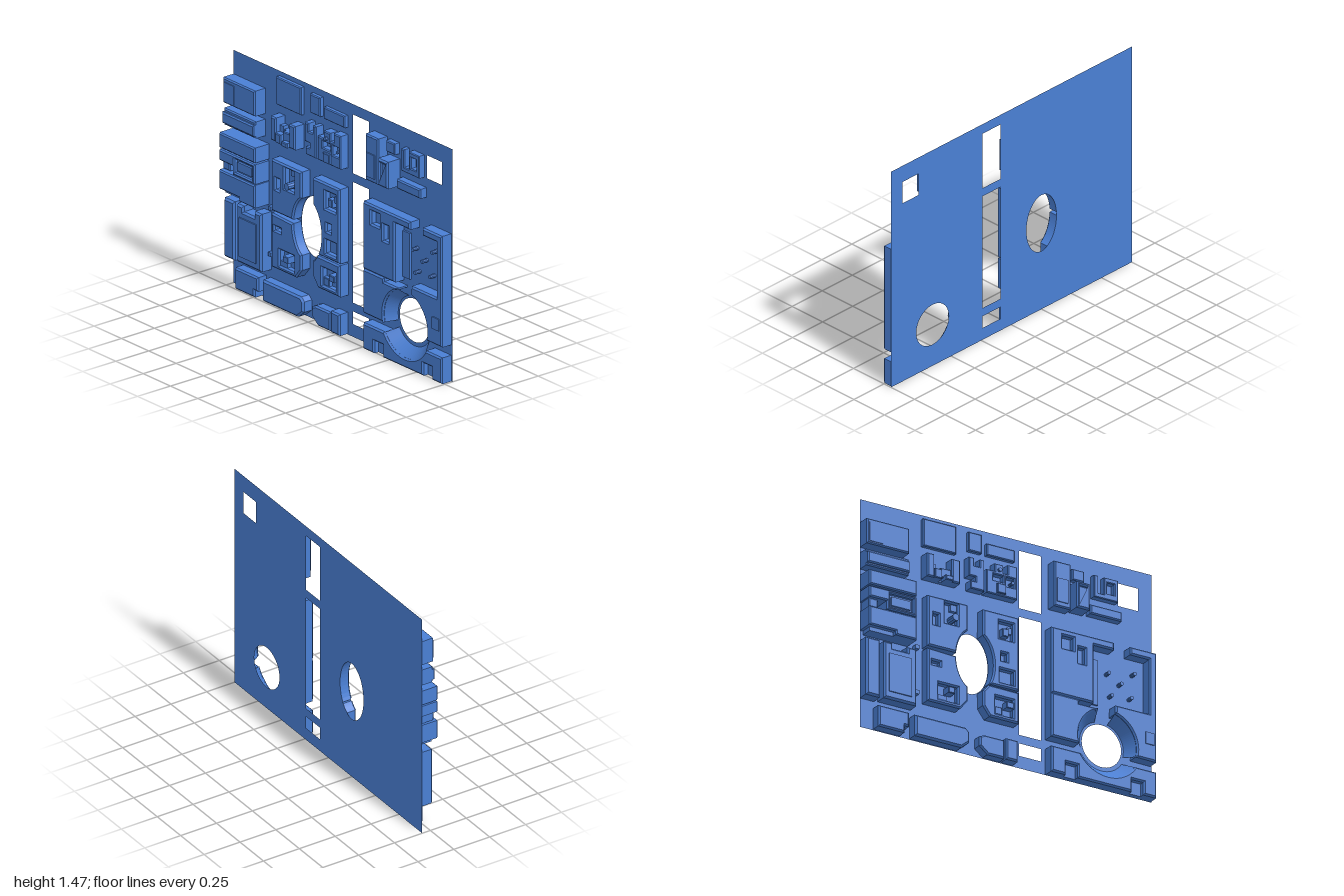
import * as THREE from 'three';

const BASE = -0.057;

export function createModel() {
  const group = new THREE.Group();
  const mat = new THREE.MeshStandardMaterial({ color: 0x4a7fd4, flatShading: true, side: THREE.DoubleSide });
  const rad = THREE.MathUtils.degToRad;

  const add = (name, geo) => {
    const mesh = new THREE.Mesh(geo, mat);
    mesh.name = name;
    group.add(mesh);
    return mesh;
  };
  const pairs = (a) => Array.from({ length: a.length / 2 }, (_, i) => new THREE.Vector2(a[2 * i], a[2 * i + 1]));
  const rect = (x0, y0, x1, y1) => [x0, y0, x1, y0, x1, y1, x0, y1];
  const arc = (cx, cy, rx, ry, a0, a1, n = 14) => {
    const out = [];
    for (let i = 0; i <= n; i++) {
      const a = rad(a0 + ((a1 - a0) * i) / n);
      out.push(cx + rx * Math.cos(a), cy + ry * Math.sin(a));
    }
    return out;
  };

  // Block standing on the plate: bevelled front rim, flat back, optional recesses with a lower floor
  function block(name, pts, z, bevel = 0.01, recesses = [], floor = z - 0.04) {
    const shape = new THREE.Shape(pairs(pts));
    recesses.forEach((r) => shape.holes.push(new THREE.Path(pairs(rect(...r)))));
    const geo = new THREE.ExtrudeGeometry(shape, {
      depth: z - BASE - bevel, bevelEnabled: bevel > 0, bevelThickness: bevel,
      bevelSize: bevel, bevelOffset: -bevel, bevelSegments: 1,
    });
    const p = geo.attributes.position;
    for (let i = 0; i < p.count; i++) p.setZ(i, Math.max(0, p.getZ(i)));
    geo.translate(0, 0, BASE);
    geo.computeVertexNormals();
    add(name, geo);
    recesses.forEach((r) => box(name + 'RecessFloor', ...r, floor, 0));
  }
  function box(name, x0, y0, x1, y1, z, bevel = 0.008, recesses) {
    block(name, rect(x0, y0, x1, y1), z, bevel, recesses);
  }
  function peg(name, x, y, r, z) {
    const geo = new THREE.CylinderGeometry(r, r, z - BASE, 10);
    geo.rotateX(Math.PI / 2);
    add(name, geo).position.set(x, y, (z + BASE) / 2);
  }

  // Thin back plate with its openings
  const plate = new THREE.Shape(pairs(rect(-1, 0, 1, 1.465)));
  [
    rect(0.09, 1.03, 0.24, 1.4), rect(0.09, 0.215, 0.24, 0.975), rect(0.09, 0.08, 0.24, 0.16),
    rect(0.77, 1.21, 0.905, 1.355),
    arc(-0.25, 0.585, 0.125, 0.19, 0, 352.5, 47), arc(0.655, 0.28, 0.135, 0.135, 0, 352.5, 47),
  ].forEach((h) => plate.holes.push(new THREE.Path(pairs(h))));
  add('backPlate', new THREE.ShapeGeometry(plate).translate(0, 0, BASE));

  // Right-hand edge column
  box('columnTopBlock', -1, 1.155, -0.71, 1.315, 0.025);
  box('columnTopPanel', -0.985, 1.17, -0.895, 1.29, 0.03, 0);
  box('columnLedge', -1, 1.015, -0.71, 1.12, 0.02);
  box('columnLedgeStep', -1, 1.03, -0.71, 1.1, 0.035);
  box('columnBar', -1, 0.88, -0.675, 0.975, 0.055);
  block('columnMiddle', [-1, 0.8, -1, 0.87, -0.675, 0.87, -0.675, 0.745, -0.88, 0.745, -0.88, 0.8],
    0.055, 0.008, [[-0.86, 0.765, -0.7, 0.85]], 0.03);
  box('columnMiddleInset', -0.845, 0.78, -0.715, 0.835, 0.045, 0);
  box('columnStep', -0.99, 0.745, -0.93, 0.8, 0.03, 0.005);
  block('columnLower', [-1, 0.62, -1, 0.74, -0.675, 0.74, -0.675, 0.595, -0.82, 0.595, -0.82, 0.62],
    0.055, 0.008, [[-0.77, 0.61, -0.69, 0.68]], 0.04);
  box('columnFootStep', -0.98, 0.595, -0.82, 0.62, 0.02, 0);
  box('narrowTower', -1, 0.185, -0.905, 0.555, 0.02, 0.012);
  block('wideTower', [-0.88, 0.19, -0.88, 0.555, -0.82, 0.555, -0.82, 0.52, -0.72, 0.52, -0.72, 0.555,
    -0.655, 0.555, -0.655, 0.19], 0.022, 0.012);
  box('wideTowerPanel', -0.85, 0.235, -0.695, 0.48, 0.03, 0);
  [0.58, 0.29].forEach((y) => box('smallStud', -0.64, y, -0.615, y + 0.025, -0.02, 0));

  // Upper rows: low slabs
  box('lowSlab', -0.58, 1.26, -0.355, 1.435, -0.03, 0.006);
  box('lowSlab', -0.27, 1.305, -0.18, 1.425, -0.03, 0.006);
  box('lowSlab', -0.145, 1.305, 0.045, 1.38, -0.03, 0.006);

  // Stepped cluster
  box('clusterTower', -0.58, 1.05, -0.53, 1.2, 0.015);
  box('clusterTower', -0.41, 1.05, -0.355, 1.2, 0.015);
  box('clusterStep', -0.53, 1.05, -0.48, 1.11, 0.02, 0.005);
  box('clusterStep', -0.48, 1.07, -0.41, 1.13, 0.0, 0.005);
  box('clusterStep', -0.53, 1.11, -0.5, 1.15, -0.02, 0);
  box('clusterStep', -0.46, 1.05, -0.41, 1.08, 0.03, 0.005);
  box('clusterFloor', -0.53, 1.05, -0.41, 1.13, -0.03, 0);

  // Notched pair
  block('notchedBlock', [-0.275, 1.05, -0.275, 1.1, -0.24, 1.1, -0.24, 1.13, -0.285, 1.13, -0.285, 1.25, -0.25, 1.25,
    -0.25, 1.2, -0.21, 1.2, -0.21, 1.25, -0.18, 1.25, -0.18, 1.05], 0.0, 0.006);
  block('notchedBlock', [-0.165, 1.05, -0.165, 1.2, -0.11, 1.2, -0.11, 1.25, -0.05, 1.25, -0.05, 1.2, -0.02, 1.2,
    -0.02, 1.26, 0.045, 1.26, 0.045, 1.05], 0.0, 0.006, [[-0.12, 1.14, -0.05, 1.18], [-0.03, 1.12, 0.025, 1.18]]);
  box('notchedStep', -0.1, 1.06, -0.04, 1.12, 0.015, 0.004);
  peg('notchedPeg', -0.08, 1.21, 0.012, 0.015);
  peg('notchedPeg', 0.015, 1.15, 0.01, 0.0);

  // Upper left-hand group
  box('tallBlock', 0.29, 1.07, 0.405, 1.36, 0.015, 0.008, [[0.305, 1.265, 0.385, 1.345]]);
  box('tallBlockPanel', 0.305, 1.1, 0.38, 1.25, 0.022, 0);
  box('smallBlock', 0.435, 1.285, 0.515, 1.355, -0.02, 0.006);
  box('frontBlock', 0.43, 1.085, 0.52, 1.255, 0.04, 0.01, [[0.45, 1.11, 0.505, 1.23]]);
  box('frontBlockInset', 0.45, 1.11, 0.505, 1.23, 0.025, 0.004);
  box('longBlock', 0.55, 1.09, 0.765, 1.15, -0.005, 0.008);
  block('hookBlock', [0.58, 1.21, 0.58, 1.35, 0.61, 1.35, 0.61, 1.24, 0.65, 1.24, 0.65, 1.35, 0.745, 1.35,
    0.745, 1.21], -0.015, 0.005, [[0.67, 1.25, 0.72, 1.32]]);

  // Four blocks around the oval opening
  const oval = (a0, a1) => arc(-0.25, 0.585, 0.128, 0.195, a0, a1);
  block('ovalBlockTopRight', [-0.575, 0.605, -0.575, 0.93, -0.3, 0.93, ...oval(113, 174)], 0.012, 0.01,
    [[-0.455, 0.78, -0.37, 0.91], [-0.535, 0.75, -0.5, 0.82]]);
  box('ovalBlockStep', -0.41, 0.87, -0.37, 0.91, -0.005, 0);
  peg('ovalBlockPeg', -0.4, 0.815, 0.022, 0.04);
  block('ovalBlockTopLeft', [0.05, 0.93, -0.195, 0.93, ...oval(65, -40), 0.05, 0.46], 0.012, 0.01,
    [[-0.085, 0.77, 0.01, 0.88], [-0.08, 0.49, 0.015, 0.575], [-0.07, 0.63, -0.03, 0.68]]);
  box('ovalBlockStep', -0.06, 0.79, -0.02, 0.84, 0.01, 0.004);
  box('ovalBlockStep', -0.02, 0.82, 0.01, 0.86, -0.01, 0);
  block('ovalBlockBottomRight', [-0.575, 0.25, -0.575, 0.59, ...oval(181, 247), -0.3, 0.31, -0.35, 0.25], 0.012, 0.01,
    [[-0.5, 0.28, -0.37, 0.38], [-0.545, 0.49, -0.49, 0.515]]);
  box('ovalBlockStep', -0.445, 0.325, -0.4, 0.365, 0.03, 0.004);
  box('ovalBlockStep', -0.5, 0.28, -0.44, 0.31, 0.0, 0);
  block('ovalBlockBottomLeft', [0.05, 0.25, 0.05, 0.45, ...oval(317, 295), -0.195, 0.31, -0.15, 0.25], 0.012, 0.01,
    [[-0.11, 0.28, 0.01, 0.39]]);
  box('ovalBlockStep', -0.04, 0.33, 0.01, 0.37, 0.02, 0.004);
  box('ovalBlockStep', -0.11, 0.28, -0.06, 0.33, 0.0, 0.004);

  // Courtyard with pegs
  block('courtyardBlock', [0.27, 0.505, 0.27, 0.93, 0.7, 0.93, 0.7, 0.88, 0.56, 0.88, 0.56, 0.505], 0.018, 0.01,
    [[0.345, 0.81, 0.42, 0.89], [0.455, 0.74, 0.5, 0.84]]);
  box('courtyardLedge', 0.56, 0.53, 0.625, 0.82, -0.045, 0);
  [[0.685, 0.745], [0.86, 0.78], [0.77, 0.695], [0.705, 0.605], [0.84, 0.62]]
    .forEach(([x, y]) => peg('courtyardPeg', x, y, 0.012, -0.015));

  // Blocks around the round opening
  const round = (r, a0, a1) => arc(0.655, 0.28, r, r, a0, a1, 20);
  block('roundBlockRight', [0.27, 0.225, 0.27, 0.505, 0.46, 0.505, 0.46, 0.48, 0.59, 0.48, ...round(0.2, 109, 196)],
    0.018, 0.01, [[0.29, 0.3, 0.43, 0.415]], -0.03);
  box('roundBlockStep', 0.29, 0.3, 0.34, 0.35, 0.005, 0.004);
  block('roundBlockLeft', [0.81, 0.93, 0.99, 0.93, 0.99, 0.23, ...round(0.2, -14, 75), 0.71, 0.53, 0.94, 0.53,
    0.94, 0.88, 0.81, 0.88], 0.018, 0.01);
  box('roundBlockPanel', 0.91, 0.33, 0.97, 0.405, 0.025, 0);
  block('roundBlockBottom', [0.27, 0, 0.27, 0.165, ...round(0.22, 211.5, 328.5), 0.99, 0.165, 0.99, 0, 0.9, 0,
    0.9, 0.08, 0.82, 0.08, 0.82, 0, 0.45, 0, 0.45, 0.08, 0.37, 0.08, 0.37, 0], 0.018, 0.01);
  [0.37, 0.82].forEach((x) => box('bottomNotchFloor', x, 0, x + 0.08, 0.08, -0.02, 0));

  // Sloped rims leading down to the round opening
  [[109, 196, 0.15, 0.21], [-14, 75, 0.15, 0.21], [211.5, 328.5, 0.16, 0.23]].forEach(([a0, a1, r0, r1]) => {
    const geo = new THREE.LatheGeometry([new THREE.Vector2(r0, BASE), new THREE.Vector2(r1, 0.018)], 24,
      rad(a0 + 90), rad(a1 - a0));
    geo.rotateX(Math.PI / 2);
    add('roundRim', geo).position.set(0.655, 0.28, 0);
  });

  // Bottom row
  block('bottomBlock', [-0.91, 0.005, -0.91, 0.14, -0.7, 0.14, -0.7, 0.05, -0.73, 0.05, -0.73, 0.005], 0.01, 0.01);
  block('bottomBlock', [-0.66, 0.005, -0.66, 0.14, -0.31, 0.14, -0.285, 0.115, -0.285, 0.05, -0.34, 0.005], 0.01, 0.012);
  block('bottomBlock', [-0.16, 0.005, -0.215, 0.05, -0.215, 0.11, -0.18, 0.125, -0.045, 0.125, -0.045, 0.005], 0.005, 0.01);
  box('bottomBlock', -0.035, 0.005, 0.045, 0.14, 0.01, 0.01);

  return group;
}
